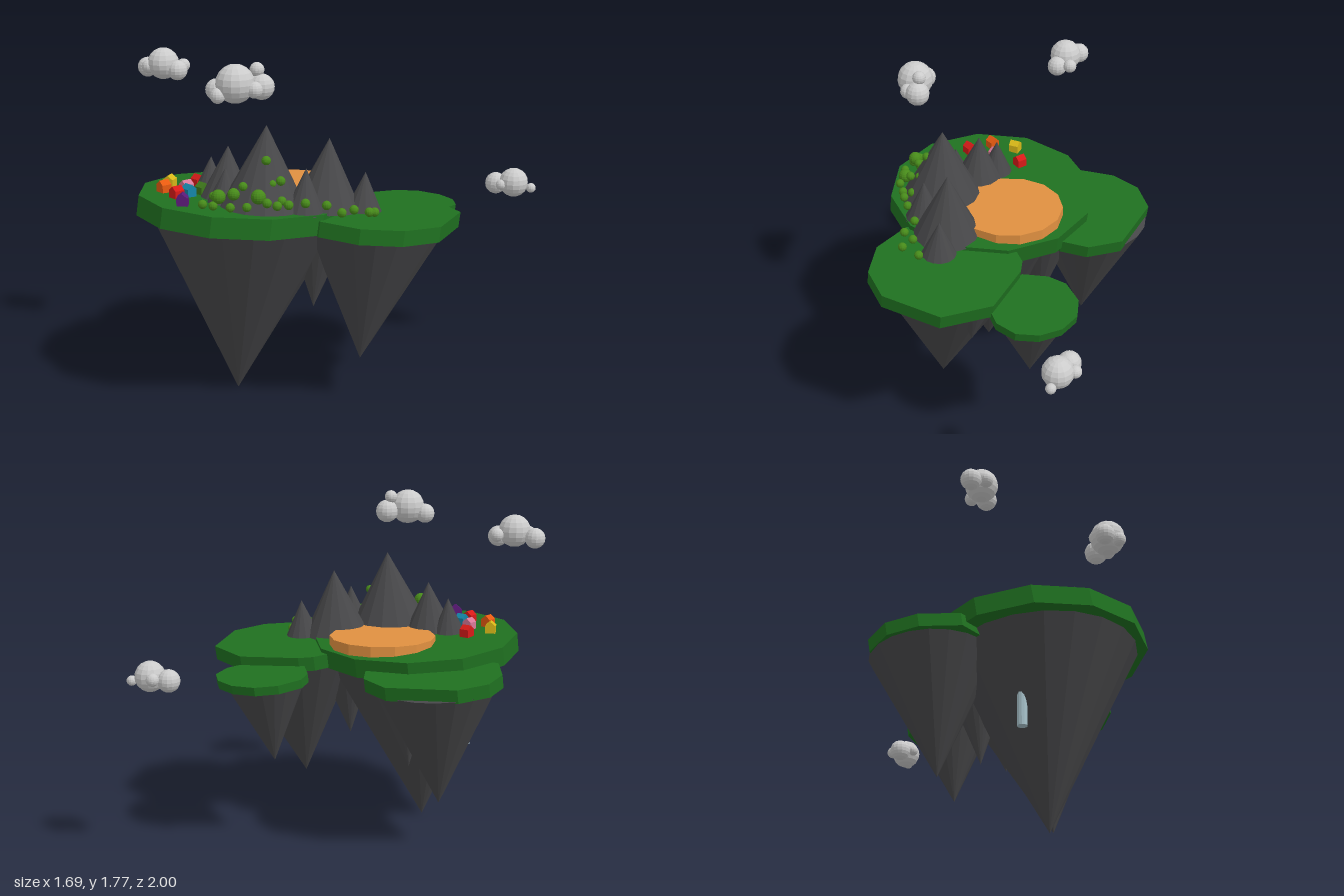
import * as THREE from 'three';

const TILT = 0.064; // the ground rises gently toward the front
const mat = (color) => new THREE.MeshStandardMaterial({ color, flatShading: true, roughness: 0.9 });
const grass = mat(0x1f7020), rock = mat(0x48484a), leaf = mat(0x478a1a), sand = mat(0xe09040);
const white = mat(0xcccccc), water = mat(0xa9c4cc);

export function createModel() {
  const model = new THREE.Group();

  const add = (name, geometry, material, x = 0, y = 0, z = 0, parent = model) => {
    const mesh = new THREE.Mesh(geometry, material);
    mesh.name = name;
    mesh.position.set(x, y, z);
    parent.add(mesh);
    return mesh;
  };

  // Cone from the centre of its base to its tip
  const spike = (name, base, tip, radius, sides) => {
    const a = new THREE.Vector3(...base), b = new THREE.Vector3(...tip);
    const dir = b.clone().sub(a), mid = a.clone().add(b).multiplyScalar(0.5);
    const mesh = add(name, new THREE.ConeGeometry(radius, dir.length(), sides), rock, mid.x, mid.y, mid.z);
    mesh.quaternion.setFromUnitVectors(new THREE.Vector3(0, 1, 0), dir.normalize());
  };

  // Grass slab from an outline seen from above, sheared to follow the slope
  const slab = (name, outline, level, slope, depth) => {
    const shape = new THREE.Shape(outline.map(([x, z]) => new THREE.Vector2(x, -z)));
    const g = new THREE.ExtrudeGeometry(shape, { depth, bevelEnabled: false });
    g.rotateX(-Math.PI / 2).translate(0, -depth, 0);
    const p = g.attributes.position;
    for (let i = 0; i < p.count; i++) {
      const y = p.getY(i), z = p.getZ(i);
      p.setXYZ(i, p.getX(i), level + y + slope * z, z - 0.18 * y);
    }
    g.computeVertexNormals();
    add(name, g, grass);
  };

  // Grass plateaus
  const ring = Array.from({ length: 12 }, (_, i) => {
    const a = (i * 30 - 3) * Math.PI / 180;
    return [-0.115 + 0.547 * Math.cos(a), 0.435 + 0.547 * Math.sin(a)];
  });
  slab('mainPlateau', ring, 1.01, TILT, 0.1);
  slab('leftPlateau', [[0.44, -0.345], [0.7, -0.27], [0.845, 0.03], [0.8, 0.23], [0.655, 0.38], [0.44, 0.44],
    [0.22, 0.38], [0.09, 0.2], [0.07, 0], [0.11, -0.14], [0.165, -0.2]], 0.988, 0.05, 0.075);
  slab('rightPlateau', [[-0.455, -0.26], [-0.275, -0.2], [-0.19, -0.08], [-0.15, 0.1], [-0.2, 0.29], [-0.39, 0.41],
    [-0.68, 0.4], [-0.81, 0.24], [-0.845, 0.07], [-0.775, -0.1]], 0.95, 0.05, 0.07);
  slab('backPlateau', [[0.23, -0.625], [0.35, -0.6], [0.44, -0.525], [0.47, -0.41], [0.43, -0.28], [0.3, -0.2],
    [0.14, -0.175], [0.04, -0.265], [0, -0.36], [0.03, -0.5], [0.11, -0.59]], 0.945, TILT, 0.045);

  // Rock hanging below: base, tip, radius
  [
    [[-0.1, 0.955, 0.455], [-0.125, 0, 0.505], 0.49],
    [[0.43, 0.93, 0.07], [0.425, 0.23, 0.155], 0.355],
    [[-0.51, 0.895, 0.09], [-0.51, 0.25, 0.13], 0.315],
    [[0.23, 0.89, -0.375], [0.21, 0.45, -0.335], 0.21],
    [[0.2, 0.94, 0.23], [0.19, 0.47, 0.26], 0.18],
    [[0.45, 0.92, -0.185], [0.45, 0.66, -0.165], 0.11],
    [[-0.24, 0.94, 0.16], [-0.26, 0.38, 0.2], 0.2],
  ].forEach(([base, tip, r]) => spike('hangingRock', base, tip, r, 20));

  // Mountains: x, z, peak height, radius
  [
    [0.14, 0.515, 1.445, 0.22], [0.295, 0.245, 1.365, 0.175], [-0.115, 0.55, 1.305, 0.135],
    [-0.24, 0.56, 1.23, 0.09], [0.43, 0.13, 1.2, 0.09], [-0.025, 0.64, 1.225, 0.09], [0.325, 0.425, 1.25, 0.1],
  ].forEach(([x, z, top, r]) => {
    const y = 1.0 + TILT * z;
    spike('mountain', [x, y, z + TILT * (top - y)], [x, top, z], r, 14);
  });

  // Round sandy platform and the narrow waterfall
  add('sandPlatform', new THREE.CylinderGeometry(0.28, 0.28, 0.07, 14), sand, -0.07, 1.027, 0.21);
  add('waterfall', new THREE.CylinderGeometry(0.025, 0.025, 0.5, 12), water, -0.385, 0.7, 0.54);

  // Gabled houses: x, z, turn, colour
  const gable = new THREE.Shape([[-0.027, -0.01], [0.027, -0.01], [0.027, 0.04], [0, 0.062], [-0.027, 0.04]]
    .map(([x, y]) => new THREE.Vector2(x, y)));
  const houseGeo = new THREE.ExtrudeGeometry(gable, { depth: 0.054, bevelEnabled: false }).translate(0, 0, -0.027);
  [
    [-0.38, 0.54, Math.PI / 2, 0xd81a18], [-0.445, 0.67, 0.5, 0xd8b818], [-0.305, 0.67, 0, 0xd87898],
    [-0.36, 0.77, 0, 0xe85a10], [-0.22, 0.635, Math.PI / 2, 0x3f7a1c], [-0.22, 0.72, Math.PI / 2, 0x1585a8],
    [-0.22, 0.795, 0, 0xd81a18], [-0.08, 0.865, 0.8, 0x5c1a7a],
  ].forEach(([x, z, turn, color]) => {
    add('house', houseGeo, mat(color), x, 1.01 + TILT * z, z).rotation.y = turn;
  });

  // Round bushes: x, y, z, radius
  const ball = new THREE.SphereGeometry(1, 14, 10);
  const addBall = (name, material, parent) => ([x, y, z, r]) =>
    add(name, ball, material, x, y, z, parent).scale.setScalar(r);
  [
    [-0.01, 1.1, 0.73, 0.022], [0.07, 1.1, 0.86, 0.022], [0.125, 1.1, 0.84, 0.022], [0.13, 1.14, 0.81, 0.035],
    [0.145, 1.14, 0.73, 0.03], [0.205, 1.29, 0.575, 0.023], [0.31, 1.21, 0.575, 0.023],
    [0.255, 1.185, 0.58, 0.02], [0.18, 1.18, 0.7, 0.022], [0.275, 1.145, 0.685, 0.036],
    [0.205, 1.1, 0.8, 0.022], [0.255, 1.1, 0.74, 0.022],
  ].forEach(addBall('bush', leaf, model));
  [
    [0.32, 1.12, 0.67], [0.335, 1.1, 0.62], [0.31, 1.11, 0.57], [0.36, 1.1, 0.57], [0.39, 1.1, 0.49],
    [0.42, 1.075, 0.38], [0.5, 1.05, 0.355], [0.5, 1.05, 0.275], [0.535, 1.025, 0.17], [0.58, 1.05, 0.25],
  ].forEach((p) => addBall('edgeBush', leaf, model)([...p, 0.023]));

  // Clouds, each a cluster of balls
  [
    [[-0.675, 1.64, 0.52, 0.082], [-0.785, 1.61, 0.54, 0.052], [-0.595, 1.61, 0.49, 0.052],
      [-0.72, 1.625, 0.58, 0.037], [-0.63, 1.625, 0.425, 0.035]],
    [[0.16, 1.675, 0.72, 0.093], [0.07, 1.64, 0.76, 0.053], [0.22, 1.655, 0.61, 0.062],
      [0.24, 1.65, 0.67, 0.04], [0.135, 1.625, 0.805, 0.037], [0.2, 1.735, 0.62, 0.035]],
    [[0.495, 0.97, -0.925, 0.078], [0.4, 0.955, -0.89, 0.058], [0.575, 0.945, -0.975, 0.026],
      [0.43, 0.97, -0.97, 0.033], [0.47, 0.965, -0.85, 0.028]],
  ].forEach((balls) => {
    const cloud = new THREE.Group();
    cloud.name = 'cloud';
    model.add(cloud);
    balls.forEach(addBall('cloudPuff', white, cloud));
  });

  return model;
}
